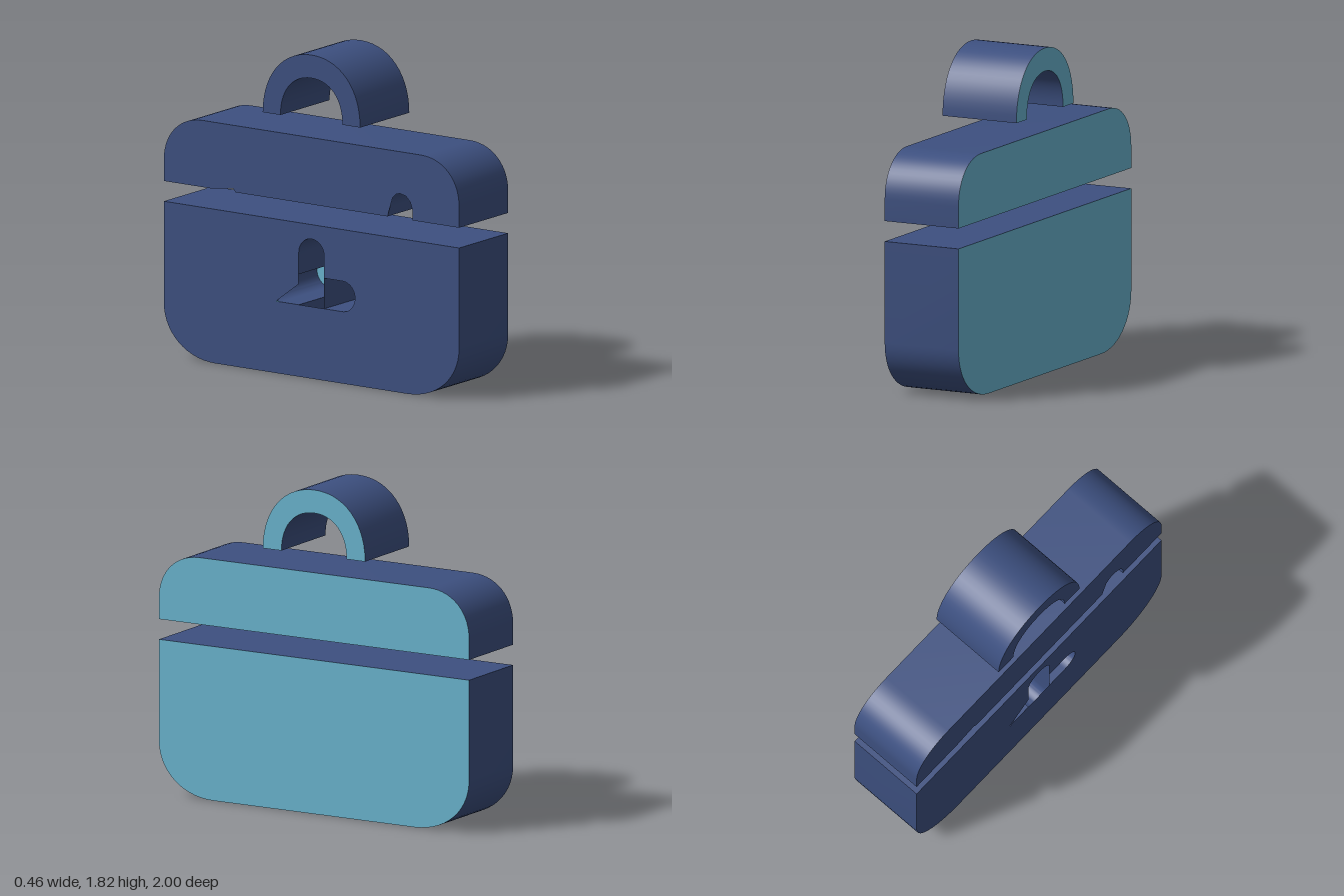
import * as THREE from 'three';
import { toCreasedNormals } from 'three/addons/utils/BufferGeometryUtils.js';

const HALF = 0.23; // half thickness along x
const navy = new THREE.MeshStandardMaterial({ color: 0x3d5080, side: THREE.DoubleSide });
const teal = new THREE.MeshStandardMaterial({ color: 0x6ab4cf, side: THREE.DoubleSide });
const SEG = 14;

// Profiles are drawn as (z, y)

// Side walls only, taken from an extrusion
function walls(shape) {
  const ext = new THREE.ExtrudeGeometry(shape, { depth: HALF * 2, bevelEnabled: false, curveSegments: SEG });
  const { start, count } = ext.groups[1];
  const pos = ext.attributes.position.array.slice(start * 3, (start + count) * 3);
  const geo = new THREE.BufferGeometry();
  geo.setAttribute('position', new THREE.BufferAttribute(pos, 3));
  geo.translate(0, 0, -HALF).rotateY(-Math.PI / 2);
  return toCreasedNormals(geo, 0.6);
}

// Flat face; sign picks the +x or -x side
function face(shape, sign) {
  return new THREE.ShapeGeometry(shape, SEG).translate(0, 0, HALF).rotateY(sign * Math.PI / 2);
}

// Walls, light face on +x and dark face on -x
function slab(name, core, light, dark) {
  const g = new THREE.Group();
  g.name = name;
  const add = (part, geo, mat) => {
    const m = new THREE.Mesh(geo, mat);
    m.name = name + part;
    g.add(m);
  };
  add('Walls', walls(core), navy);
  add('LightFace', face(light, 1), teal);
  add('DarkFace', face(dark, -1), navy);
  return g;
}

// Lid outline; notches are drawn along the lower edge from -z to +z
function lidShape(notches = () => {}) {
  const s = new THREE.Shape();
  s.moveTo(-1, 0.98);
  notches(s);
  s.lineTo(1, 0.98);
  s.lineTo(1, 1.1);
  s.bezierCurveTo(1, 1.25, 0.89, 1.355, 0.74, 1.355);
  s.lineTo(-0.74, 1.355);
  s.bezierCurveTo(-0.89, 1.355, -1, 1.25, -1, 1.1);
  s.closePath();
  return s;
}

function bodyShape(hole) {
  const s = new THREE.Shape();
  s.moveTo(-1, 0.866);
  s.lineTo(-1, 0.3);
  s.bezierCurveTo(-1, 0.13, -0.85, 0, -0.65, 0);
  s.lineTo(0.65, 0);
  s.bezierCurveTo(0.85, 0, 1, 0.13, 1, 0.3);
  s.lineTo(1, 0.866);
  s.closePath();
  if (hole) s.holes.push(hole);
  return s;
}

// Cross with four rounded arms
function crossHole() {
  const p = new THREE.Path(), w = 0.086, r = 0.209, cy = 0.49;
  p.moveTo(w, cy + w);
  for (let i = 0; i < 4; i++) {
    const a = i * Math.PI / 2, c = Math.cos(a), n = Math.sin(a);
    const at = (x, y) => [x * c - y * n, cy + x * n + y * c];
    p.lineTo(...at(w, -w));
    p.lineTo(...at(r, -w));
    p.absarc(...at(r, 0), w, a - Math.PI / 2, a + Math.PI / 2, false);
    p.lineTo(...at(w, w));
  }
  return p;
}

// Partly covered mouth of the cross on the dark face
function crossMouth() {
  const p = new THREE.Path(), w = 0.086;
  p.moveTo(-0.24, 0.404);
  p.lineTo(0.209, 0.404);
  p.absarc(0.209, 0.49, w, -Math.PI / 2, Math.PI / 2, false);
  p.lineTo(w, 0.576);
  p.lineTo(w, 0.699);
  p.absarc(0, 0.699, w, 0, Math.PI, false);
  p.lineTo(-w, 0.52);
  p.closePath();
  return p;
}

// Round-topped slots in the underside of the lid
function lidSlots(s) {
  for (const z of [-0.6, 0.6]) {
    s.lineTo(z - 0.085, 0.98);
    s.lineTo(z - 0.085, 1.035);
    s.absarc(z, 1.035, 0.085, Math.PI, 0, true);
    s.lineTo(z + 0.085, 0.98);
  }
}

// Partly covered slot mouths on the dark face
function slotMouths(s) {
  for (const [z, y] of [[-0.67, 0.98], [-0.53, 1.0], [-0.515, 0.98],
    [0.515, 0.98], [0.55, 1.09], [0.575, 1.113], [0.6, 1.12], [0.64, 1.11], [0.67, 1.08], [0.685, 1.035], [0.685, 0.98]]) s.lineTo(z, y);
}

// Carrying handle: an open arch
function handleShape() {
  const s = new THREE.Shape(), b = 1.455;
  s.moveTo(0.33, b);
  s.bezierCurveTo(0.33, b + 0.21, 0.2, 1.82, 0, 1.82);
  s.bezierCurveTo(-0.2, 1.82, -0.33, b + 0.21, -0.33, b);
  s.lineTo(-0.21, b);
  s.bezierCurveTo(-0.21, b + 0.14, -0.13, 1.69, 0, 1.69);
  s.bezierCurveTo(0.13, 1.69, 0.21, b + 0.14, 0.21, b);
  s.closePath();
  return s;
}

export function createModel() {
  const model = new THREE.Group();
  model.name = 'medicalCase';
  model.add(
    slab('body', bodyShape(crossHole()), bodyShape(), bodyShape(crossMouth())),
    slab('lid', lidShape(lidSlots), lidShape(), lidShape(slotMouths)),
    slab('handle', handleShape(), handleShape(), handleShape())
  );
  return model;
}
